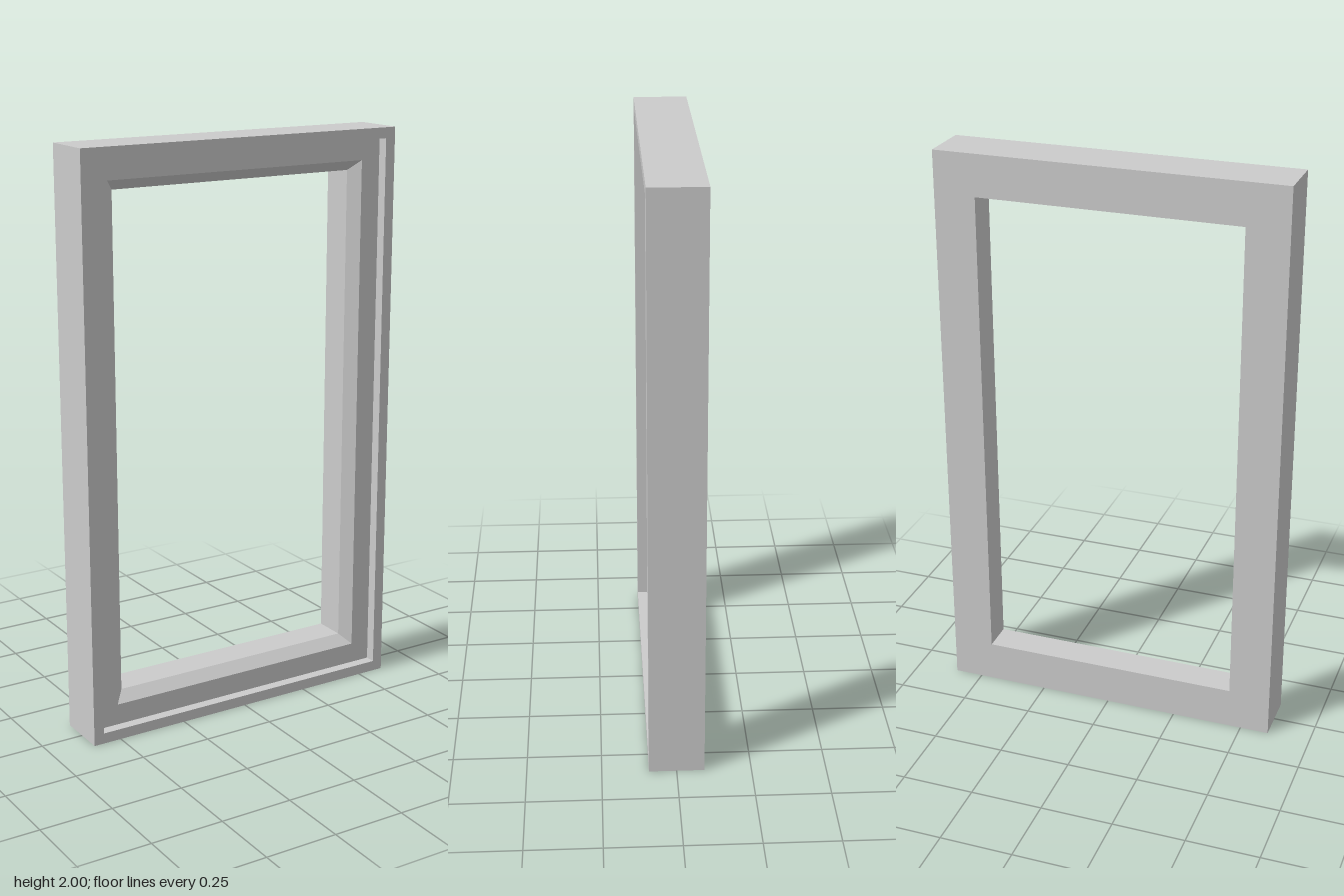
import * as THREE from 'three';

const WIDTH = 1.2, HEIGHT = 2, HALF_DEPTH = 0.093;

// Frame cross-section: [inset from the outer edge, z], running from the back round to the front
const PROFILE = [
  [0, -HALF_DEPTH],
  [0, HALF_DEPTH],              // outer side
  [0.037, HALF_DEPTH],          // raised front lip
  [0.037, HALF_DEPTH - 0.037],  // step down
  [0.11, HALF_DEPTH - 0.037],   // recessed face
  [0.145, HALF_DEPTH - 0.074],  // bevel
  [0.145, -HALF_DEPTH],         // inner side of the opening
];

// Corners of the rectangle, anticlockwise seen from the front
const CORNERS = [[-1, -1], [1, -1], [1, 1], [-1, 1]];

function corner(c, [inset, z]) {
  const [sx, sy] = CORNERS[c % 4];
  return [sx * (WIDTH / 2 - inset), HEIGHT / 2 + sy * (HEIGHT / 2 - inset), z];
}

// One mitred rail: the profile swept from one corner to the next
function rail(name, c, material) {
  const positions = [];
  PROFILE.forEach((p, i) => {
    const q = PROFILE[(i + 1) % PROFILE.length];
    const a = corner(c, p), b = corner(c + 1, p);
    const d = corner(c, q), e = corner(c + 1, q);
    positions.push(...a, ...b, ...e, ...a, ...e, ...d);
  });
  const geometry = new THREE.BufferGeometry();
  geometry.setAttribute('position', new THREE.Float32BufferAttribute(positions, 3));
  geometry.computeVertexNormals();
  const mesh = new THREE.Mesh(geometry, material);
  mesh.name = name;
  return mesh;
}

export function createModel() {
  const group = new THREE.Group();
  group.name = 'windowFrame';
  const material = new THREE.MeshStandardMaterial({ color: 0xcccccc, flatShading: true });
  ['bottomRail', 'leftStile', 'topRail', 'rightStile'].forEach((name, c) => {
    group.add(rail(name, c, material));
  });
  return group;
}
